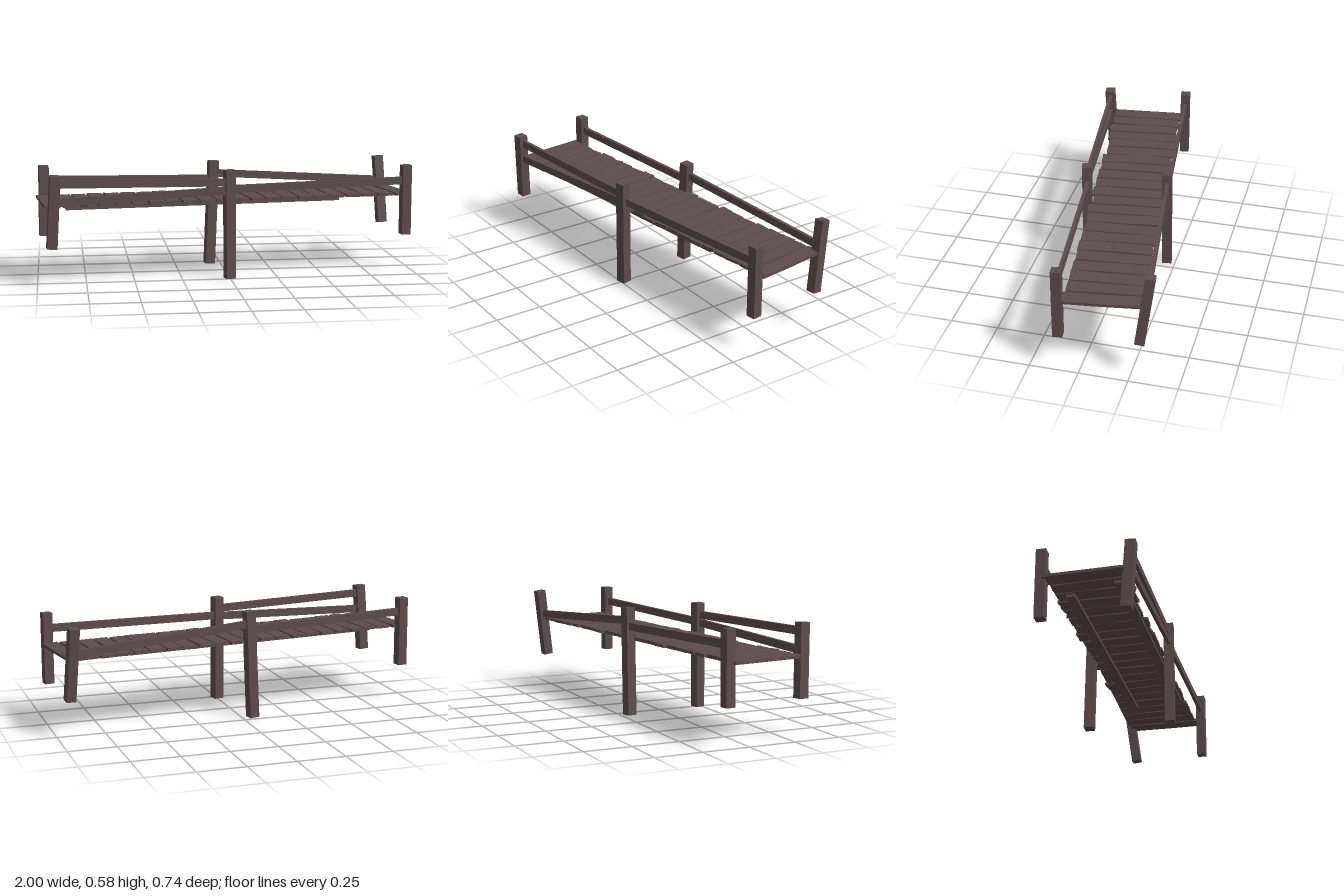
import * as THREE from 'three';

const YAW = 0.122; // the bridge runs slightly diagonally
const material = new THREE.MeshStandardMaterial({ color: 0x5c4b4c, flatShading: true });

// Small seeded generator, returns values in -1..1
let seed = 11;
const jitter = () => {
  seed = (seed * 16807) % 2147483647;
  return (seed / 2147483647) * 2 - 1;
};

// Box beam running between two points
function beam(name, from, to, width, depth, upright, twist = 0) {
  const a = new THREE.Vector3(...from), b = new THREE.Vector3(...to);
  const dir = b.clone().sub(a);
  const length = dir.length();
  const geo = upright
    ? new THREE.BoxGeometry(width, length, depth).rotateY(YAW + twist)
    : new THREE.BoxGeometry(length, width, depth);
  const mesh = new THREE.Mesh(geo, material);
  mesh.name = name;
  mesh.position.copy(a).add(b).multiplyScalar(0.5);
  if (upright) {
    mesh.quaternion.setFromUnitVectors(new THREE.Vector3(0, 1, 0), dir.normalize());
  } else {
    mesh.rotation.order = 'YZX';
    mesh.rotation.y = Math.atan2(-dir.z, dir.x);
    mesh.rotation.z = Math.atan2(dir.y, Math.hypot(dir.x, dir.z));
  }
  return mesh;
}

// Roughly cut plank; notch pushes the middle of one end in or out
function plank(width, length, notchBack, notchFront) {
  const w = width / 2, l = length / 2, j = () => jitter() * 0.005;
  const outline = [
    [-w + j(), -l + j()], [j(), -l + notchFront], [w + j(), -l + j()],
    [w + j(), j() * 8], [w + j(), l + j()],
    [j(), l + notchBack], [-w + j(), l + j()], [-w + j(), j() * 8],
  ].map(([x, y]) => new THREE.Vector2(x, y));
  const geo = new THREE.ExtrudeGeometry(new THREE.Shape(outline), { depth: 0.015, bevelEnabled: false });
  return new THREE.Mesh(geo.rotateX(-Math.PI / 2), material);
}

export function createModel() {
  const model = new THREE.Group();
  model.name = 'footbridge';

  // Deck of loose planks
  const deck = new THREE.Group();
  deck.name = 'deck';
  deck.rotation.y = YAW;
  const COUNT = 22;
  for (let i = 0; i < COUNT; i++) {
    const end = i === 0 || i === COUNT - 1;
    const p = plank(0.081, end ? 0.405 : 0.383 + jitter() * 0.008, i === 4 ? -0.014 : 0, i === 2 ? -0.016 : 0);
    p.name = 'plank';
    p.position.set(-0.943 + (i * 1.881) / (COUNT - 1), 0.401, end ? 0 : jitter() * 0.008);
    p.rotation.y = end ? 0 : jitter() * 0.018;
    deck.add(p);
  }
  model.add(deck);

  // Stringers under the planks
  model.add(
    beam('frontStringer', [-0.85, 0.393, 0.257], [0.6, 0.393, 0.08], 0.016, 0.048),
    beam('backStringer', [-0.8, 0.393, -0.016], [0.6, 0.393, -0.187], 0.016, 0.048),
  );

  // Leaning posts: bottom point, top point, size, twist
  const posts = [
    ['frontLeftPost', [0.967, 0.195, 0.106], [0.967, 0.57, 0.106], 0.05, 0],
    ['frontMiddlePost', [-0.002, 0.002, 0.23], [-0.004, 0.573, 0.228], 0.052, 0.1],
    ['frontRightPost', [-0.924, 0.197, 0.324], [-0.902, 0.569, 0.34], 0.052, 0],
    ['backLeftPost', [0.937, 0.197, -0.293], [0.919, 0.573, -0.341], 0.05, 0],
    ['backMiddlePost', [-0.06, 0.002, -0.203], [-0.037, 0.573, -0.201], 0.052, 0.06],
    ['backRightPost', [-0.964, 0.195, -0.1], [-0.961, 0.571, -0.1], 0.051, 0],
  ];
  for (const [name, bottom, top, size, twist] of posts) {
    model.add(beam(name, bottom, top, size, size, true, twist));
  }

  // Handrails between the posts, with an extra low one on one bay
  const rails = [
    ['frontUpperRail', [-0.91, 0.525, 0.336], [0, 0.508, 0.232]],
    ['frontLowerRail', [-0.91, 0.431, 0.336], [0, 0.466, 0.232]],
    ['frontLeftRail', [0, 0.471, 0.222], [0.967, 0.487, 0.108]],
    ['backRightRail', [-0.955, 0.494, -0.1], [-0.045, 0.474, -0.203]],
    ['backLeftRail', [-0.045, 0.505, -0.203], [0.925, 0.437, -0.325]],
  ];
  for (const [name, from, to] of rails) model.add(beam(name, from, to, 0.04, 0.018));

  return model;
}
